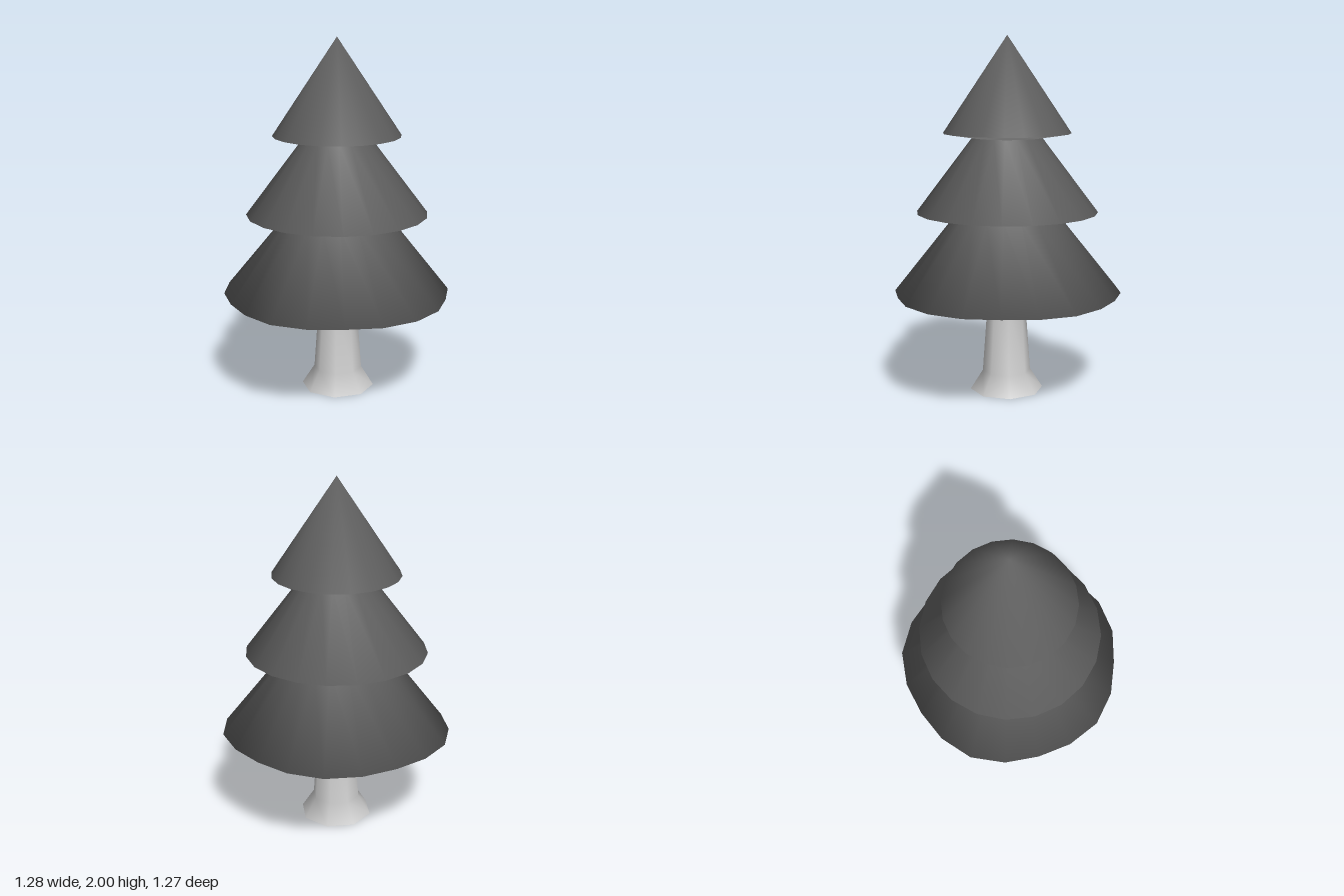
import * as THREE from 'three';
import { mergeVertices } from 'three/addons/utils/BufferGeometryUtils.js';

const SIDES = 20;
// Uneven rim radius of the lowest tier, from +x round to -x (mirrored in z)
const RIM = [0.653, 0.645, 0.624, 0.64, 0.652, 0.637, 0.628, 0.642, 0.652, 0.639, 0.627];
const RIM_Y = 0.565;

const light = new THREE.MeshStandardMaterial({ color: 0xcccccc, side: THREE.DoubleSide });
const dark = new THREE.MeshStandardMaterial({ color: 0x636363, side: THREE.DoubleSide });

// Lathe welded into one skin, without normals yet
function weldedLathe(profile, sides) {
  const points = profile.map(([r, y]) => new THREE.Vector2(r, y));
  const geometry = new THREE.LatheGeometry(points, sides);
  geometry.deleteAttribute('normal');
  geometry.deleteAttribute('uv');
  return mergeVertices(geometry, 1e-4);
}

// Push the vertices at the lowest rim out to the uneven radii
function unevenRim(geometry) {
  const pos = geometry.attributes.position;
  for (let i = 0; i < pos.count; i++) {
    if (Math.abs(pos.getY(i) - RIM_Y) > 0.001) continue;
    const angle = Math.abs(Math.atan2(pos.getZ(i), pos.getX(i)));
    const r = RIM[Math.round(angle / (2 * Math.PI / SIDES))];
    const scale = r / Math.hypot(pos.getX(i), pos.getZ(i));
    pos.setX(i, pos.getX(i) * scale);
    pos.setZ(i, pos.getZ(i) * scale);
  }
}

// One band of the skin as its own mesh, keeping the shared smooth normals
function bandMesh(name, skin, band, bandCount, material) {
  const geometry = new THREE.BufferGeometry();
  geometry.setAttribute('position', skin.attributes.position);
  geometry.setAttribute('normal', skin.attributes.normal);
  const index = [];
  for (let s = 0; s < SIDES; s++) {
    const start = (s * bandCount + band) * 6;
    for (let k = 0; k < 6; k++) index.push(skin.index.getX(start + k));
  }
  geometry.setIndex(index);
  const mesh = new THREE.Mesh(geometry, material);
  mesh.name = name;
  return mesh;
}

export function createModel() {
  const tree = new THREE.Group();
  tree.name = 'pineTree';

  // Trunk with flared foot, open at the bottom
  const trunkSkin = weldedLathe([[0.206, 0], [0.136, 0.11], [0.108, 0.5]], 8);
  trunkSkin.computeVertexNormals();
  const trunk = new THREE.Mesh(trunkSkin, light);
  trunk.name = 'trunk';
  trunk.position.x = -0.007;
  tree.add(trunk);

  // Foliage: one smooth skin, alternating pale undersides and dark slopes
  const profile = [
    [0.108, 0.5], [0.64, RIM_Y],
    [0.295, 1.0], [0.508, 1.025],
    [0.195, 1.44], [0.357, 1.465],
    [0, 2],
  ];
  const skin = weldedLathe(profile, SIDES);
  unevenRim(skin);
  skin.computeVertexNormals();

  ['lowerTier', 'middleTier', 'upperTier'].forEach((name, i) => {
    const tier = new THREE.Group();
    tier.name = name;
    tier.position.x = -0.013;
    tier.add(
      bandMesh(name + 'Underside', skin, 2 * i, profile.length - 1, light),
      bandMesh(name + 'Slope', skin, 2 * i + 1, profile.length - 1, dark),
    );
    tree.add(tier);
  });

  return tree;
}
